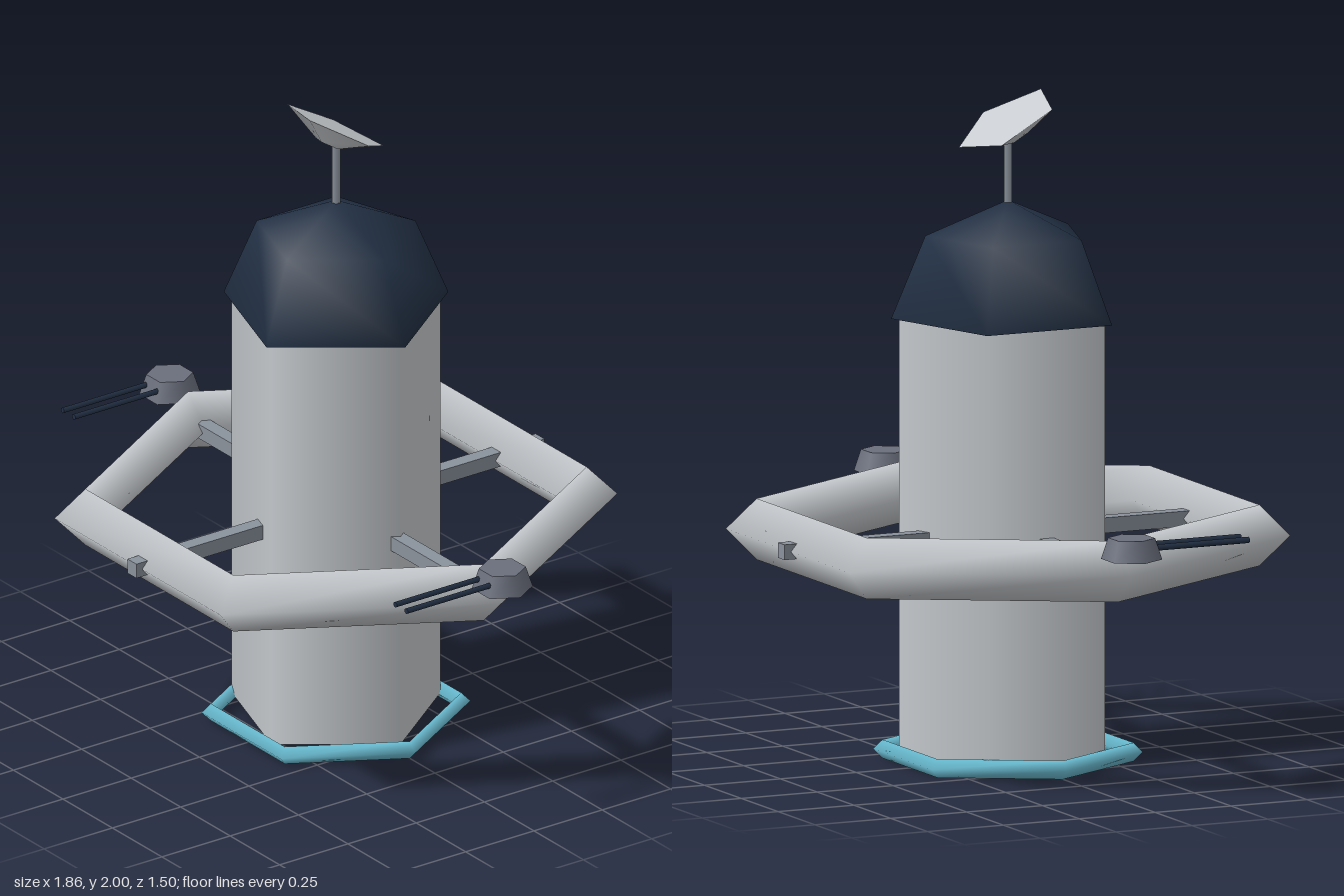
import * as THREE from 'three';

const mat = (name, color, side = THREE.FrontSide) => {
  const m = new THREE.MeshStandardMaterial({ color, side });
  m.name = name;
  return m;
};

export function createModel() {
  const hull = mat('pale hull', 0xc8ccd0);
  const navy = mat('dark navy', 0x223044, THREE.DoubleSide);
  const cyan = mat('cyan glow', 0x6cc0d6);
  const steel = mat('steel grey', 0x8a929c);
  const gunmetal = mat('gunmetal', 0x6a6f7c);

  const model = new THREE.Group();
  const add = (name, geometry, material, x = 0, y = 0, z = 0, parent = model) => {
    const mesh = new THREE.Mesh(geometry, material);
    mesh.name = name;
    mesh.position.set(x, y, z);
    parent.add(mesh);
    return mesh;
  };
  // Upright prism with one corner towards +x
  const prism = (top, bottom, height, sides) =>
    new THREE.CylinderGeometry(top, bottom, height, sides, 1, false, Math.PI / 2);
  // Horizontal six-cornered ring with a diamond section
  const ring = (radius, tube) =>
    new THREE.TorusGeometry(radius, tube, 4, 6).rotateX(Math.PI / 2);

  // Five-sided tower and its domed roof
  add('tower', prism(0.326, 0.326, 1.307, 5), hull, 0, 0.6815);
  add('dome', new THREE.SphereGeometry(0.35, 5, 2, Math.PI, Math.PI * 2, 0, Math.PI / 2),
    navy, 0, 1.336);

  // Rings
  add('baseRing', ring(0.373, 0.028), cyan, 0, 0.028);
  add('habitatRing', ring(0.747, 0.092), hull, 0, 0.685);

  // Crossed spokes through the tower
  add('spokeAcross', new THREE.BoxGeometry(1.495, 0.046, 0.046), steel, 0, 0.685);
  add('spokeAlong', new THREE.BoxGeometry(0.046, 0.046, 1.495), steel, 0, 0.685);

  // Mast and tilted dish
  add('mast', new THREE.CylinderGeometry(0.014, 0.014, 0.2, 6), steel, 0, 1.777);
  const dish = new THREE.Group();
  dish.name = 'dish';
  dish.position.set(0, 1.924, -0.002);
  dish.rotation.x = -Math.PI / 6;
  model.add(dish);
  add('dishBowl', prism(0.164, 0.045, 0.055, 5), hull, 0, -0.0275, 0, dish);

  // Twin-barrelled turrets on the outer ring corners
  for (const [side, s] of [['left', 1], ['right', -1]]) {
    const turret = new THREE.Group();
    turret.name = side + 'Turret';
    turret.position.set(s * 0.84, 0.769, 0);
    model.add(turret);
    add('turretBase', prism(0.07, 0.091, 0.064, 6), gunmetal, 0, 0, 0, turret);
    for (const x of [-0.028, 0.028]) {
      add('barrel', new THREE.CylinderGeometry(0.0095, 0.0095, 0.37, 6).rotateX(Math.PI / 2),
        navy, x, 0.002, 0.187, turret);
    }
  }
  return model;
}
